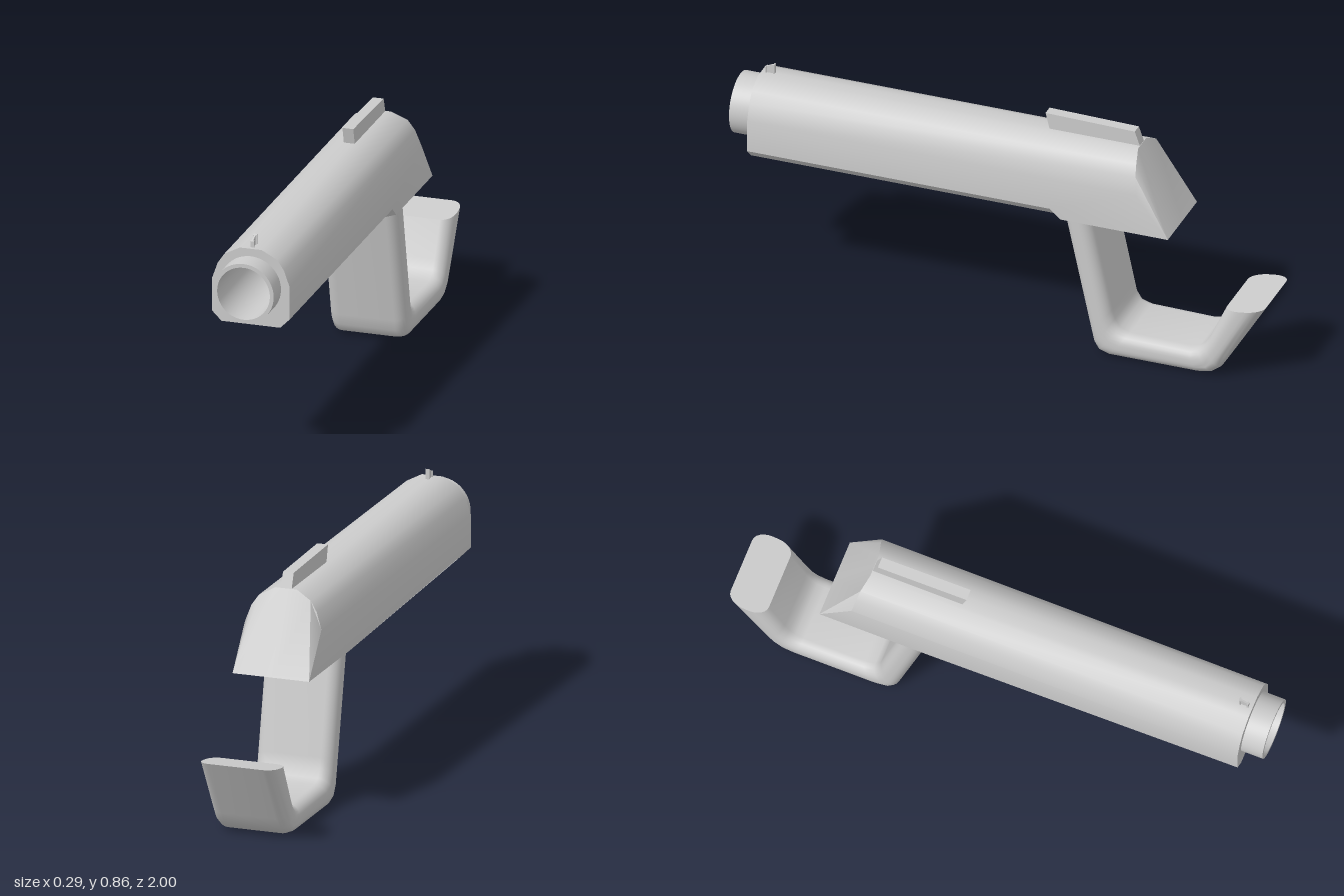
import * as THREE from 'three';
import { toCreasedNormals } from 'three/addons/utils/BufferGeometryUtils.js';

const grey = new THREE.MeshStandardMaterial({ color: 0xcccccc });

function part(name, geometry, crease = 0.65) {
  const mesh = new THREE.Mesh(toCreasedNormals(geometry, crease), grey);
  mesh.name = name;
  return mesh;
}

// Collects convex (or fan-shaped) faces into one geometry
function faceBuilder() {
  const positions = [];
  const add = (points) => {
    for (let i = 1; i < points.length - 1; i++) {
      positions.push(...points[0], ...points[i], ...points[i + 1]);
    }
  };
  const addMirrored = (points) => {
    add(points);
    add(points.map(([x, y, z]) => [-x, y, z]).reverse());
  };
  const geometry = () => {
    const g = new THREE.BufferGeometry();
    g.setAttribute('position', new THREE.Float32BufferAttribute(positions, 3));
    return g;
  };
  return { add, addMirrored, geometry };
}

// Side profile given as [z, y], extruded across x
function sideExtrude(profile, width) {
  const shape = new THREE.Shape(profile.map(([z, y]) => new THREE.Vector2(-z, y)));
  const g = new THREE.ExtrudeGeometry(shape, { depth: width, bevelEnabled: false });
  return g.translate(0, 0, -width / 2).rotateY(Math.PI / 2);
}

// Long body: front z, end of the lower chamfer, slanted rear
const FRONT = 0.92, STOP = -0.21;
const AXIS_Y = 0.668;
const half = [ // x, y, rear z
  [0.143, 0.525, -0.65], [0.143, 0.68, -0.53], [0.122, 0.74, -0.521],
  [0.097, 0.777, -0.515], [0.04, 0.807, -0.5], [0, 0.807, -0.5],
];
const low = [0.108, 0.525], high = [0.143, 0.56];

function bodyGeometry() {
  const f = faceBuilder();
  const [p0, p1, p2, p3, p4, p5] = half;
  const step = [0.143, 0.525, -0.25];
  // side wall, lower chamfer and its slanted stop
  f.addMirrored([[...high, STOP], step, p0, p1, [p1[0], p1[1], FRONT], [...high, FRONT]]);
  f.addMirrored([[...low, FRONT], [...low, STOP], [...high, STOP], [...high, FRONT]]);
  f.addMirrored([[...low, STOP], step, [...high, STOP]]);
  // underside
  f.addMirrored([[...low, STOP], [...low, FRONT], [0, 0.525, FRONT], [0, 0.525, -0.65], p0, step]);
  // rounded top
  for (let i = 1; i < 5; i++) {
    const a = half[i], b = half[i + 1];
    f.addMirrored([[a[0], a[1], FRONT], a, b, [b[0], b[1], FRONT]]);
  }
  // slanted rear with side facets
  f.addMirrored([p0, p3, p2, p1]);
  f.addMirrored([p0, [0, 0.525, -0.65], p5, p4, p3]);
  return f.geometry();
}

function bodyFrontGeometry() {
  const right = [low, high, ...half.slice(1, 5)];
  const left = right.map(([x, y]) => [-x, y]).reverse();
  const shape = new THREE.Shape([...right, ...left].map(([x, y]) => new THREE.Vector2(x, y)));
  shape.holes.push(new THREE.Path().absarc(0, AXIS_Y, 0.104, 0, Math.PI * 2, true));
  return new THREE.ShapeGeometry(shape, 24).translate(0, 0, FRONT);
}

// Hollow barrel end
function barrelGeometry() {
  const profile = [[0.111, 0.9], [0.111, 1], [0.097, 1], [0.097, 0.4], [0, 0.4]];
  return new THREE.LatheGeometry(profile.map(([r, z]) => new THREE.Vector2(r, z)), 48)
    .rotateX(Math.PI / 2).translate(0, AXIS_Y, 0);
}

// Small I-shaped front sight with a sloping top
function frontSightGeometry() {
  const w = 0.007, t = 0.003, l = 0.0175, f = 0.012;
  const outline = [[-w, -l], [w, -l], [w, -f], [t, -f], [t, f], [w, f],
    [w, l], [-w, l], [-w, f], [-t, f], [-t, -f], [-w, -f]];
  const shape = new THREE.Shape(outline.map(([x, y]) => new THREE.Vector2(x, y)));
  const g = new THREE.ExtrudeGeometry(shape, { depth: 0.04, bevelEnabled: false });
  g.rotateX(-Math.PI / 2).translate(0, 0.797, 0.8875);
  const p = g.attributes.position;
  for (let i = 0; i < p.count; i++) {
    if (p.getY(i) > 0.82) p.setY(i, 0.837 - (p.getZ(i) - 0.8875) * 0.45);
  }
  return g;
}

// Hooked strap: a rounded section swept between an outer and an inner line
function hookGeometry() {
  const stations = [ // outer z, y, inner z, y
    [-0.251, 0.56, -0.348, 0.56], [-0.355, 0.085, -0.43, 0.18],
    [-0.364, 0.045, -0.438, 0.143], [-0.382, 0.016, -0.457, 0.112],
    [-0.42, 0.004, -0.495, 0.1], [-0.755, 0.004, -0.725, 0.095],
    [-0.803, 0.012, -0.755, 0.102], [-0.838, 0.038, -0.778, 0.122],
    [-0.866, 0.082, -0.797, 0.155], [-1, 0.3, -0.856, 0.28],
  ];
  // rounded rectangle: x across, t from outer (0) to inner (1)
  const section = [];
  const rx = 0.042, rt = 0.42, steps = 6;
  const corners = [[1, 1 - rt], [-1, 1 - rt], [-1, rt], [1, rt]];
  corners.forEach(([side, t], c) => {
    for (let i = 0; i <= steps; i++) {
      const a = (c + i / steps) * Math.PI / 2;
      section.push([side * (0.143 - rx) + rx * Math.cos(a), t + rt * Math.sin(a)]);
    }
  });
  const rings = stations.map(([zo, yo, zi, yi]) =>
    section.map(([x, t]) => [x, yo + (yi - yo) * t, zo + (zi - zo) * t]));
  const f = faceBuilder();
  const n = section.length;
  for (let s = 0; s < rings.length - 1; s++) {
    for (let i = 0; i < n; i++) {
      const j = (i + 1) % n;
      f.add([rings[s][i], rings[s + 1][i], rings[s + 1][j], rings[s][j]]);
    }
  }
  f.add(rings[0]);
  f.add([...rings[rings.length - 1]].reverse());
  return f.geometry();
}

export function createModel() {
  const model = new THREE.Group();
  model.name = 'model';
  const rearSight = [[-0.165, 0.795], [-0.147, 0.867], [-0.48, 0.86], [-0.503, 0.795]];
  model.add(
    part('body', bodyGeometry()),
    part('bodyFront', bodyFrontGeometry()),
    part('barrel', barrelGeometry()),
    part('frontSight', frontSightGeometry(), 0.3),
    part('rearSight', sideExtrude(rearSight, 0.04), 0.3),
    part('hook', hookGeometry(), 0.75),
  );
  return model;
}
